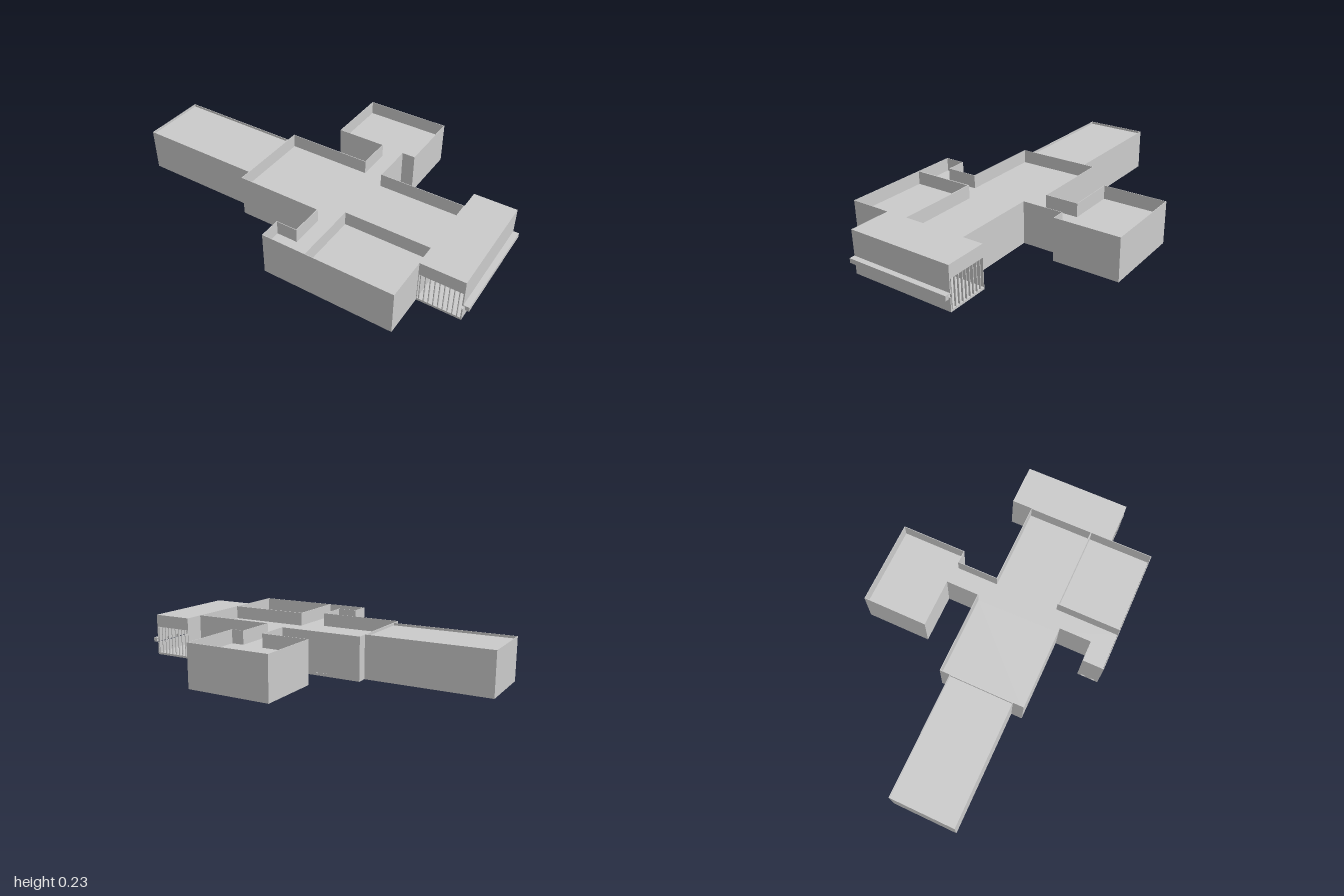
import * as THREE from 'three';

const H = 0.235;   // parapet height
const T = 0.003;   // wall thickness
const material = new THREE.MeshStandardMaterial({ color: 0xcccccc, flatShading: true });

function box(parent, name, x0, x1, y0, y1, z0, z1) {
  const mesh = new THREE.Mesh(new THREE.BoxGeometry(x1 - x0, y1 - y0, z1 - z0), material);
  mesh.position.set((x0 + x1) / 2, (y0 + y1) / 2, (z0 + z1) / 2);
  mesh.name = name;
  parent.add(mesh);
}

// Move every corner of a right-angled plan inwards by t
function inset(plan, t) {
  const normal = (a, b) => {
    const dx = b[0] - a[0], dz = b[1] - a[1], l = Math.hypot(dx, dz);
    return [-dz / l, dx / l];
  };
  const n = plan.length;
  return plan.map((p, i) => {
    const a = normal(plan[(i + n - 1) % n], p), b = normal(p, plan[(i + 1) % n]);
    return [p[0] + t * (a[0] + b[0]), p[1] + t * (a[1] + b[1])];
  });
}

const toPoints = plan => plan.map(([x, z]) => new THREE.Vector2(x, -z));

function slab(parent, name, shape, height) {
  const geometry = new THREE.ExtrudeGeometry(shape, { depth: height, bevelEnabled: false });
  geometry.rotateX(-Math.PI / 2);
  const mesh = new THREE.Mesh(geometry, material);
  mesh.name = name;
  parent.add(mesh);
}

// Outer walls rising past a sunken flat roof
function wing(name, plan, roofY) {
  const group = new THREE.Group();
  group.name = name;
  const inner = toPoints(inset(plan, T));
  // Outline runs counter-clockwise and the hole clockwise, so inner faces look inwards
  const walls = new THREE.Shape(toPoints(plan).reverse());
  walls.holes.push(new THREE.Path(inner));
  slab(group, name + 'Walls', walls, H);
  slab(group, name + 'Roof', new THREE.Shape(inner), roofY);
  return group;
}

const rect = (x0, x1, z0, z1) => [[x0, z0], [x1, z0], [x1, z1], [x0, z1]];

// Block with slatted ends and a rail along its outer side
function slattedBlock() {
  const group = new THREE.Group();
  group.name = 'slattedBlock';
  const x0 = 0.74, x1 = 0.97, z0 = -0.172, z1 = 0.417;
  box(group, 'blockFloor', x0, x1, 0, 0.012, z0, z1);
  box(group, 'blockTop', x0, x1, 0.165, H, z0, z1);
  box(group, 'innerWall', x0, x0 + 0.003, 0.012, 0.165, z0, z1);
  box(group, 'outerWallLower', x1 - 0.006, x1, 0.012, 0.072, z0, z1);
  box(group, 'outerWallUpper', x1 - 0.006, x1, 0.092, 0.165, z0, z1);

  // Rail: front strip, closed top and brackets underneath
  box(group, 'railFront', 0.98, 1, 0.072, 0.092, z0, z1);
  box(group, 'railTop', x1, 1, 0.092, 0.097, z0, z1);
  for (let i = 0; i < 8; i++) {
    const z = z0 + 0.02 + i * (z1 - z0 - 0.04) / 7;
    box(group, 'railBracket', x1 - 0.006, 0.98, 0.074, 0.092, z - 0.004, z + 0.004);
  }

  // Slats, staggered between the two ends
  const count = 9, step = (x1 - x0 - 0.012) / count;
  for (let i = 0; i < count; i++) {
    const xf = x0 + 0.006 + (i + 0.25) * step, xb = xf + step / 2;
    box(group, 'frontSlat', xf - 0.002, xf + 0.002, 0.012, 0.165, z1 - 0.01, z1);
    box(group, 'backSlat', xb - 0.002, xb + 0.002, 0.012, 0.165, z0, z0 + 0.01);
  }
  return group;
}

export function createModel() {
  const model = new THREE.Group();
  model.name = 'building';

  // Central hall with corridors and the back room
  model.add(wing('mainHall', [
    [-0.32, -0.112], [0.142, -0.112], [0.142, -0.293], [-0.128, -0.293], [-0.128, -0.65],
    [0.344, -0.65], [0.344, -0.286], [0.273, -0.286], [0.273, -0.06], [0.74, -0.06],
    [0.74, 0.298], [0.273, 0.298], [0.273, 0.65], [0.035, 0.65], [0.035, 0.533],
    [0.148, 0.533], [0.148, 0.358], [-0.32, 0.358],
  ], 0.16));

  // Long side wing and front annex
  model.add(wing('longWing', rect(-1, -0.32, -0.055, 0.298), 0.222));
  model.add(wing('frontAnnex', rect(0.273, 0.74, 0.298, 0.65), 0.16));
  model.add(slattedBlock());

  // Small wall fittings near the ground
  for (const x of [-0.12, -0.065]) box(model, 'backFitting', x - 0.01, x + 0.01, 0.012, 0.017, -0.116, -0.112);
  for (const z of [0.565, 0.62]) box(model, 'sideFitting', 0.031, 0.035, 0.012, 0.017, z - 0.01, z + 0.01);
  return model;
}
